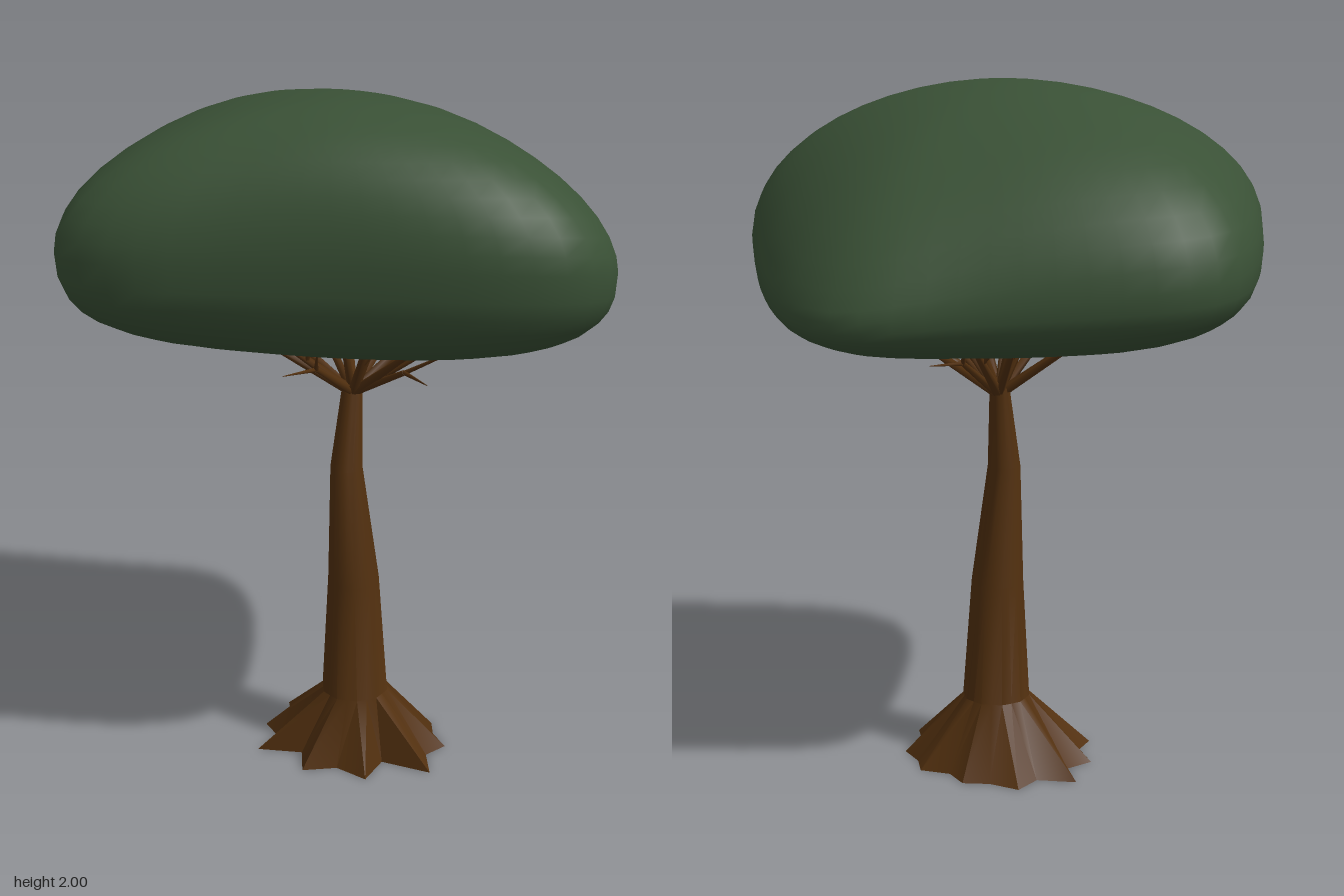
import * as THREE from 'three';
import { mergeVertices, mergeGeometries, toCreasedNormals } from 'three/addons/utils/BufferGeometryUtils.js';

const { lerp } = THREE.MathUtils;
const leaf = new THREE.MeshStandardMaterial({ color: 0x3a5136 });
const bark = new THREE.MeshStandardMaterial({ color: 0x52300f, side: THREE.DoubleSide });

// Skin over closed rings of points, listed from the bottom up
function loft(rings) {
  const n = rings[0].length, index = [];
  for (let i = 0; i < rings.length - 1; i++)
    for (let j = 0; j < n; j++) {
      const k = (j + 1) % n, a = i * n + j, b = i * n + k, c = a + n, d = b + n;
      index.push(a, c, b, b, c, d);
    }
  const geo = new THREE.BufferGeometry().setFromPoints(rings.flat());
  geo.setIndex(index);
  return geo;
}

// Rounded, lopsided crown: a squarish outline at mid height, growing rounder toward each pole
function makeCanopy() {
  const outline = [
    [0.75, 0.26], [0.73, 0.38], [0.66, 0.47], [0.52, 0.535], [0.35, 0.565], [0, 0.59],
    [-0.27, 0.615], [-0.42, 0.63], [-0.56, 0.615], [-0.66, 0.56], [-0.71, 0.46], [-0.74, 0.32],
    [-0.75, 0.07], [-0.75, -0.12], [-0.73, -0.32], [-0.69, -0.43], [-0.61, -0.51], [-0.5, -0.55],
    [-0.35, -0.575], [0, -0.605], [0.14, -0.625], [0.24, -0.635], [0.33, -0.62], [0.43, -0.55],
    [0.51, -0.45], [0.61, -0.25], [0.67, -0.08], [0.73, 0.12],
  ].map(([x, z]) => new THREE.Vector3(x, 1.555 - 0.03 * x + 0.14 * z + 0.1 * x * z, z));
  const edge = new THREE.CatmullRomCurve3(outline, true).getSpacedPoints(56).slice(0, -1);
  const top = new THREE.Vector3(0, 2, 0.23), bottom = new THREE.Vector3(0, 1.3, -0.08);
  const rings = [], steps = 24;
  for (let i = 0; i <= steps; i++) {
    const t = (i / steps - 0.5) * Math.PI;
    const pole = t > 0 ? top : bottom;
    const reach = Math.pow(Math.max(0, Math.cos(t)), t > 0 ? 1 : 0.72);
    rings.push(edge.map((e) => {
      const r = Math.hypot(e.x, e.z);
      const k = lerp(0.72 / r, 1, reach);
      // the back left shoulder slopes more steeply
      const slope = Math.max(0, (e.x - e.z) / r / Math.SQRT2);
      const rise = Math.pow(Math.abs(Math.sin(t)), t > 0 ? 1 + 0.5 * slope * slope : 0.75);
      return new THREE.Vector3(
        lerp(pole.x, e.x * k, reach), lerp(e.y, pole.y, rise), lerp(pole.z, e.z * k, reach));
    }));
  }
  const geo = mergeVertices(loft(rings), 1e-4);
  geo.computeVertexNormals();
  return geo;
}

// Leaning fluted trunk, open below, that flares into a jagged star of roots
function makeTrunk() {
  const sides = 20;
  // y, centre x, centre z, radius x, radius z, flute depth
  const sections = [
    [0.0, -0.015, 0, 0.305, 0.25, 0], [0.19, -0.002, 0.037, 0.1, 0.099, 0.04],
    [0.55, -0.006, 0.035, 0.077, 0.087, 0.04], [0.9, -0.024, 0.045, 0.048, 0.047, 0.03],
    [1.14, -0.015, 0.012, 0.029, 0.025, 0],
  ];
  const rings = sections.map(([y, cx, cz, rx, rz, flute], i) =>
    Array.from({ length: sides }, (_, j) => {
      const a = (j / sides) * Math.PI * 2;
      const notch = 0.75 + 0.08 * Math.sin(j * 1.7);
      const short = 0.2 * Math.pow(Math.max(0, Math.cos(a + Math.PI / 4)), 4);
      const tip = 1.01 - 0.06 * Math.cos(4 * a) + 0.05 * Math.cos(a - Math.PI / 4) - short;
      const k = i > 0 ? 1 - (j % 2) * flute : j % 2 ? notch : tip;
      return new THREE.Vector3(cx + rx * k * Math.cos(a), y, cz + rz * k * Math.sin(a));
    }));
  rings.push(rings[0].map(() => new THREE.Vector3(-0.015, 1.15, 0.012)));
  return toCreasedNormals(loft(rings), 0.65);
}

// Tapered stick between two points
function stick(a, b, r0, r1) {
  const dir = b.clone().sub(a);
  const geo = new THREE.CylinderGeometry(r1, r0, dir.length(), 5);
  geo.applyQuaternion(new THREE.Quaternion().setFromUnitVectors(
    new THREE.Vector3(0, 1, 0), dir.normalize()));
  const mid = a.clone().add(b).multiplyScalar(0.5);
  return geo.translate(mid.x, mid.y, mid.z);
}

// Straight limbs fanning from the trunk top, with forks and low twigs
function makeBranches() {
  const parts = [], count = 9;
  const root = new THREE.Vector3(-0.012, 1.12, 0.014);
  const out = (a, r, y) => new THREE.Vector3(root.x + r * Math.cos(a), y, root.z + r * Math.sin(a));
  for (let i = 0; i < count; i++) {
    const a = (i / count) * Math.PI * 2 + 0.2 * Math.sin(i * 2.3);
    const r = 0.33 + 0.05 * Math.sin(i * 1.9);
    const tip = out(a, r, 1.36);
    parts.push(stick(root, tip, 0.016, 0.007));
    parts.push(stick(root.clone().lerp(tip, 0.55), out(a - 0.4, r * 0.75, 1.37), 0.009, 0.004));
  }
  // low drooping twigs: angle, reach
  for (const [a, r] of [[0.1, 0.33], [0.85, 0.43], [1.87, 0.36], [5.1, 0.37]]) {
    const knee = out(a - 0.08, r * 0.62, 1.255);
    parts.push(stick(root, knee, 0.013, 0.008));
    parts.push(stick(knee, out(a, r, 1.272), 0.007, 0.001));
    parts.push(stick(knee, out(a - 0.25, r * 0.9, 1.33), 0.007, 0.003));
  }
  // upright inner shoots
  for (let i = 0; i < 5; i++)
    parts.push(stick(root, out(i * 1.257 + 0.4, 0.11, 1.36), 0.014, 0.007));
  return mergeGeometries(parts);
}

export function createModel() {
  const model = new THREE.Group();
  model.name = 'tree';
  const add = (name, geo, mat) => {
    const mesh = new THREE.Mesh(geo, mat);
    mesh.name = name;
    model.add(mesh);
  };
  add('canopy', makeCanopy(), leaf);
  add('trunk', makeTrunk(), bark);
  add('branches', makeBranches(), bark);
  return model;
}
